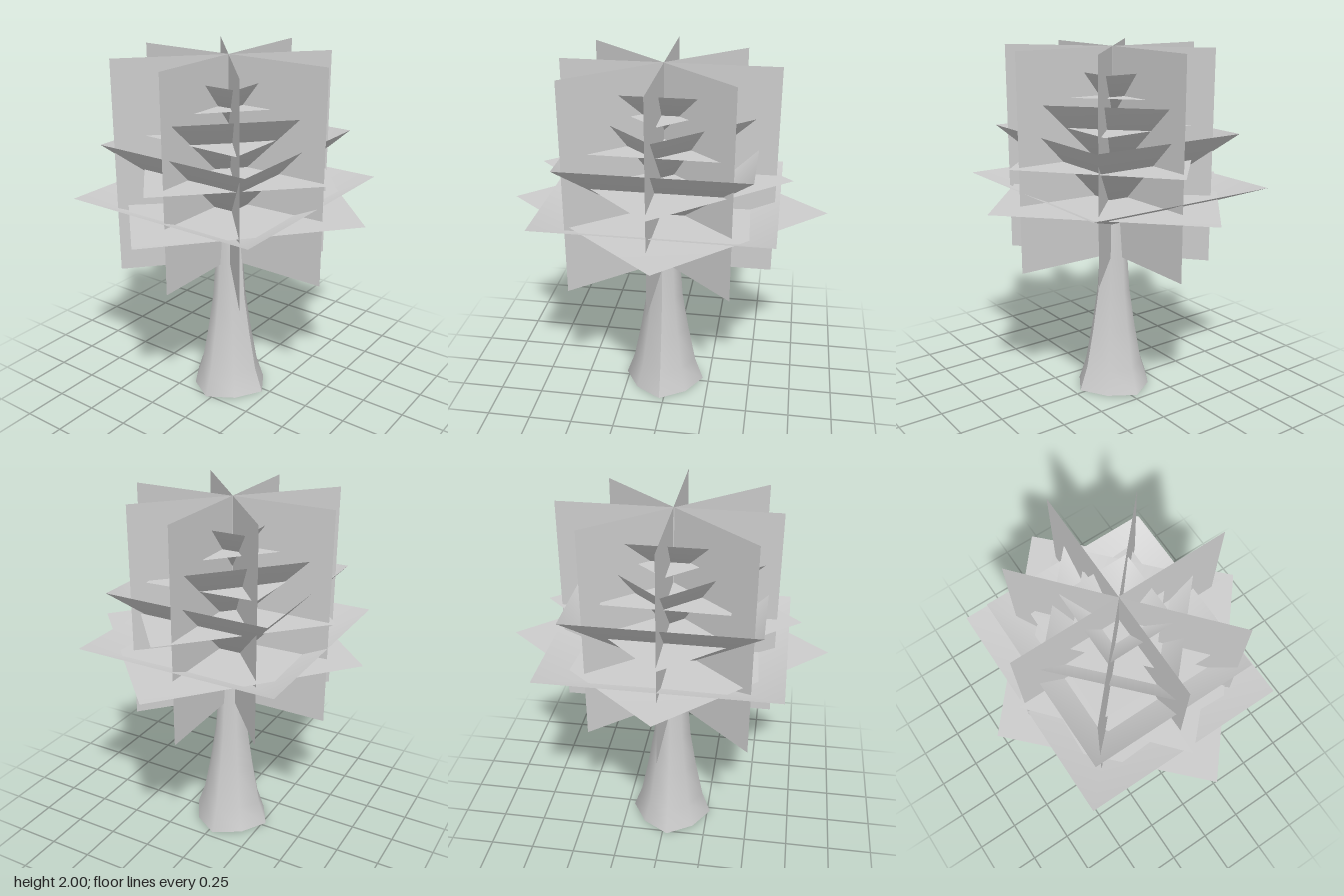
import * as THREE from 'three';

const material = new THREE.MeshStandardMaterial({ color: 0xcccccc, side: THREE.DoubleSide });
const CX = -0.027, CZ = -0.03; // trunk axis

// Tapered eight-sided trunk, slightly pinched on the diagonals
function makeTrunk() {
  const profile = [[0.24, 0], [0.19, 0.14], [0.145, 0.37], [0.108, 0.6], [0.092, 0.82],
    [0.07, 1.02], [0.045, 1.25], [0.01, 1.5]].map(([r, y]) => new THREE.Vector2(r, y));
  const geometry = new THREE.LatheGeometry(profile, 8);
  const pos = geometry.attributes.position;
  for (let i = 0; i < pos.count; i++) {
    const x = pos.getX(i), z = pos.getZ(i);
    if (Math.min(Math.abs(x), Math.abs(z)) > 0.3 * Math.hypot(x, z)) {
      pos.setX(i, x * 0.88);
      pos.setZ(i, z * 0.88);
    }
  }
  geometry.computeVertexNormals();
  const mesh = new THREE.Mesh(geometry, material);
  mesh.position.set(CX, 0, CZ);
  mesh.name = 'trunk';
  return mesh;
}

// Upright foliage card between two ground points
function makeCard([x0, z0, x1, z1]) {
  const bottom = 0.815, top = 2;
  const geometry = new THREE.PlaneGeometry(Math.hypot(x1 - x0, z1 - z0), top - bottom);
  const mesh = new THREE.Mesh(geometry, material);
  mesh.position.set((x0 + x1) / 2, (top + bottom) / 2, (z0 + z1) / 2);
  mesh.rotation.y = -Math.atan2(z1 - z0, x1 - x0);
  mesh.name = 'uprightFoliageCard';
  return mesh;
}

// Four-cornered foliage layer whose middle drops to a lower point
function makeLayer({ rim, middle, corners }) {
  const points = [CX, middle, CZ];
  corners.forEach(([x, z]) => points.push(x, rim, z));
  const geometry = new THREE.BufferGeometry();
  geometry.setAttribute('position', new THREE.Float32BufferAttribute(points, 3));
  geometry.setIndex([0, 2, 1, 0, 3, 2, 0, 4, 3, 0, 1, 4]);
  geometry.computeVertexNormals();
  const mesh = new THREE.Mesh(geometry, material);
  mesh.name = 'foliageLayer';
  return mesh;
}

// Corners run clockwise from above, starting at the back
const square = (x0, x1, z0, z1) => [[x0, z0], [x1, z0], [x1, z1], [x0, z1]];

export function createModel() {
  const tree = new THREE.Group();
  tree.name = 'tree';
  tree.add(makeTrunk());

  const cards = new THREE.Group();
  cards.name = 'uprightFoliage';
  [
    [-0.59, -0.027, 0.59, -0.027],
    [-0.028, -0.605, -0.028, 0.575],
    [-0.49, -0.445, 0.385, 0.355],
    [-0.5, 0.38, 0.39, -0.395],
  ].forEach((ends) => cards.add(makeCard(ends)));
  tree.add(cards);

  const layers = new THREE.Group();
  layers.name = 'layeredFoliage';
  [
    // Deep bowls
    { rim: 1.255, middle: 0.99, corners: square(-0.66, 0.617, -0.605, 0.543) },
    { rim: 1.545, middle: 1.05, corners: square(-0.537, 0.488, -0.5, 0.437) },
    { rim: 1.715, middle: 1.28, corners: [[-0.028, -0.48], [0.468, -0.03], [-0.028, 0.42], [-0.512, -0.03]] },
    { rim: 1.87, middle: 1.62, corners: square(-0.234, 0.188, -0.222, 0.162) },
    // Nearly flat layers
    { rim: 1.197, middle: 1.18, corners: [[-0.035, -0.805], [0.88, -0.025], [0.03, 0.797], [-0.882, 0.015]] },
    { rim: 1.402, middle: 1.4, corners: [[-0.03, -0.642], [0.682, 0.035], [-0.02, 0.64], [-0.722, -0.04]] },
    { rim: 1.585, middle: 1.58, corners: [[-0.365, -0.36], [0.3, -0.345], [0.342, 0.285], [-0.39, 0.28]] },
    { rim: 1.742, middle: 1.74, corners: [[-0.025, -0.31], [0.285, -0.035], [-0.02, 0.25], [-0.335, -0.025]] },
  ].forEach((layer) => layers.add(makeLayer(layer)));
  tree.add(layers);

  return tree;
}
